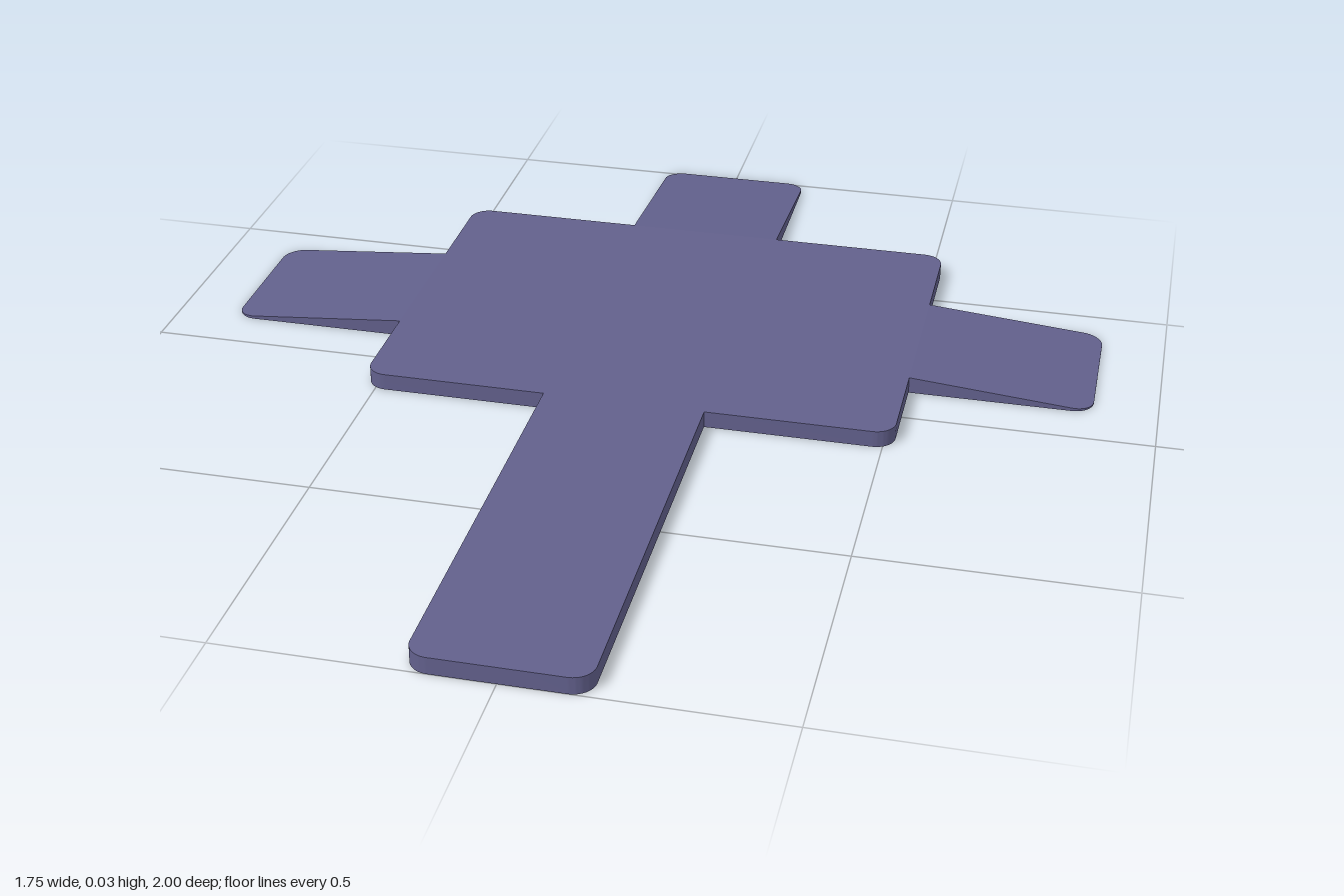
import * as THREE from 'three';
import { toCreasedNormals } from 'three/addons/utils/BufferGeometryUtils.js';

const HEIGHT = 0.033, TIP = 0.003, RADIUS = 0.04, ARM_WIDTH = 0.316;

// Flat slab from y = 0 to HEIGHT, running from z = 0 towards -z,
// with rounded far corners and optionally rounded near corners.
function slabGeometry(width, length, roundNear, sloped) {
  const w = width / 2, r = RADIUS, n = roundNear ? r : 0;
  const s = new THREE.Shape();
  s.moveTo(-w + n, 0);
  s.lineTo(w - n, 0);
  if (n) s.absarc(w - r, r, r, -Math.PI / 2, 0);
  s.lineTo(w, length - r);
  s.absarc(w - r, length - r, r, 0, Math.PI / 2);
  s.lineTo(-w + r, length);
  s.absarc(-w + r, length - r, r, Math.PI / 2, Math.PI);
  s.lineTo(-w, n);
  if (n) s.absarc(-w + r, r, r, Math.PI, Math.PI * 1.5);
  const geo = new THREE.ExtrudeGeometry(s, { depth: HEIGHT, bevelEnabled: false, curveSegments: 8 });
  geo.rotateX(-Math.PI / 2);

  // Lower the top face evenly towards the tip to form a ramp
  if (sloped) {
    const p = geo.attributes.position;
    for (let i = 0; i < p.count; i++) {
      if (p.getY(i) > HEIGHT / 2) p.setY(i, HEIGHT + (TIP - HEIGHT) * (-p.getZ(i) / length));
    }
  }
  return toCreasedNormals(geo, 0.5);
}

export function createModel() {
  const model = new THREE.Group();
  model.name = 'rampPlatform';
  const material = new THREE.MeshStandardMaterial({ color: 0x62608c });

  const add = (name, geometry, x, z, turn = 0) => {
    const mesh = new THREE.Mesh(geometry, material);
    mesh.name = name;
    mesh.position.set(x, 0, z);
    mesh.rotation.y = turn;
    model.add(mesh);
  };

  // Central platform
  add('platform', slabGeometry(1.04, 0.766, true, false), 0, 0.122);

  // Level walkway to the front
  add('frontWalkway', slabGeometry(ARM_WIDTH, 0.878, false, false), 0, 0.122, Math.PI);

  // Three ramps sloping down to the ground
  const ramp = slabGeometry(ARM_WIDTH, 0.356, false, true);
  add('backRamp', ramp, 0, -0.644);
  add('leftRamp', ramp, 0.52, -0.257, -Math.PI / 2);
  add('rightRamp', ramp, -0.52, -0.257, Math.PI / 2);

  return model;
}
